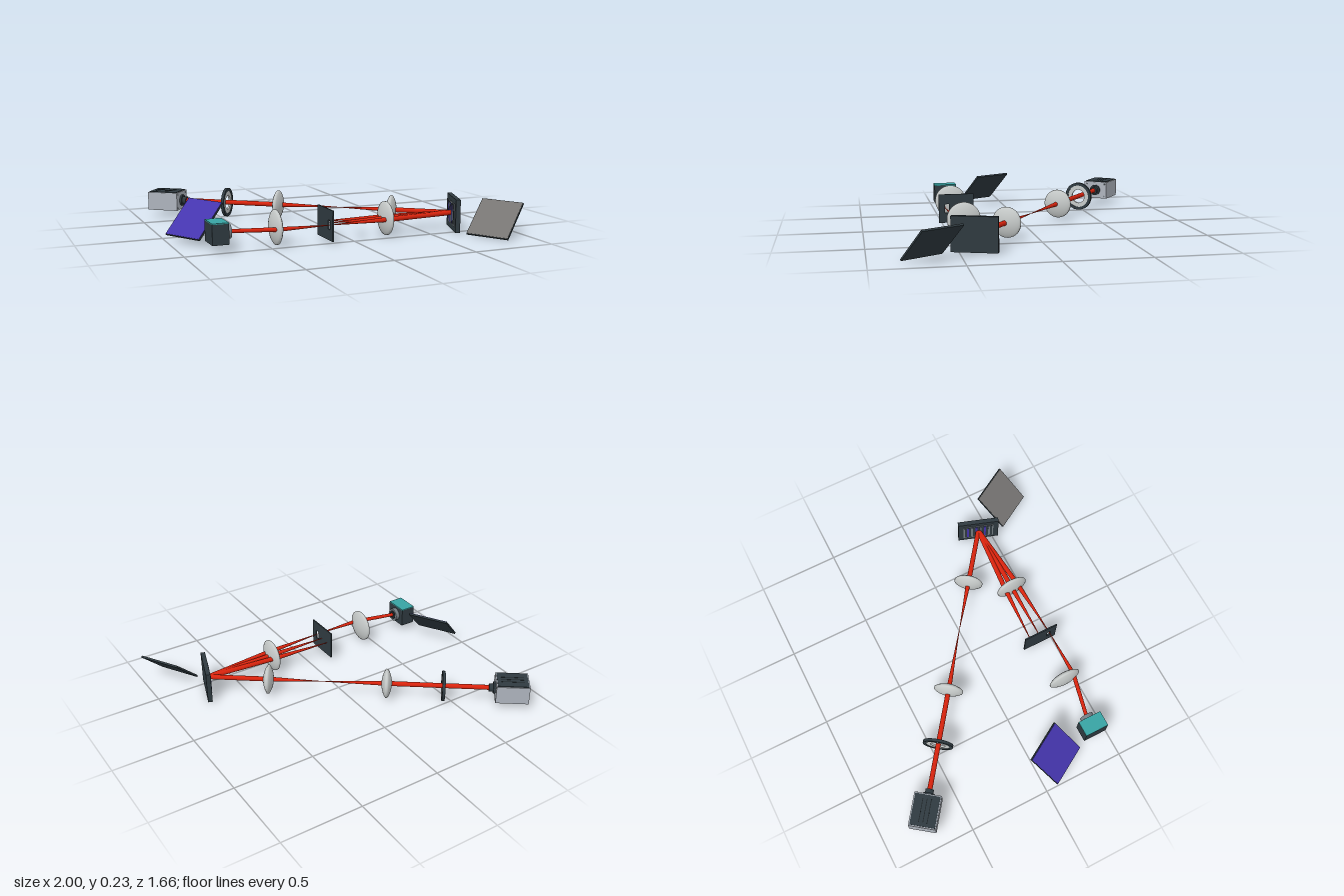
import * as THREE from 'three';

const mat = (name, color) => {
  const m = new THREE.MeshStandardMaterial({ color });
  m.name = name;
  return m;
};

export function createModel() {
  const M = {
    dark: mat('dark anodised metal', 0x2f3a40),
    black: mat('black detail', 0x1c2226),
    body: mat('light grey housing', 0xaeb4bd),
    glass: mat('pale glass', 0xc6cac9),
    steel: mat('mid grey metal', 0x757d83),
    beam: mat('red beam', 0xd8230d),
    teal: mat('teal cover', 0x38a3a3),
    violet: mat('violet screen', 0x4535ae),
    grey: mat('grey screen', 0x777573),
  };
  const root = new THREE.Group();
  const Y = 0.11; // height of the optical axis

  const add = (parent, name, geo, material, x = 0, y = 0, z = 0) => {
    const mesh = new THREE.Mesh(geo, material);
    mesh.name = name;
    mesh.position.set(x, y, z);
    parent.add(mesh);
    return mesh;
  };
  const box = (p, name, w, h, d, m, x, y, z) => add(p, name, new THREE.BoxGeometry(w, h, d), m, x, y, z);
  // group whose local +x points along (dx, dz)
  const station = (name, x, z, dx = 1, dz = 0) => {
    const g = new THREE.Group();
    g.name = name;
    g.position.set(x, Y, z);
    g.rotation.y = Math.atan2(-dz, dx);
    root.add(g);
    return g;
  };
  // cylinder lying along local x
  const barrel = (p, name, r, len, m, x) =>
    add(p, name, new THREE.CylinderGeometry(r, r, len, 32).rotateZ(-Math.PI / 2), m, x);
  // flat shape with a hole, facing local x
  const plate = (p, name, shape, depth, m) =>
    add(p, name, new THREE.ExtrudeGeometry(shape, { depth, bevelEnabled: false, curveSegments: 32 })
      .translate(0, 0, -depth / 2).rotateY(Math.PI / 2), m);
  const ring = (outer, inner) => {
    const s = new THREE.Shape().absarc(0, 0, outer, 0, Math.PI * 2);
    s.holes.push(new THREE.Path().absarc(0, 0, inner, 0, Math.PI * 2, true));
    return s;
  };
  const rect = (path, x, y, w, h) => path.moveTo(x - w / 2, y - h / 2).lineTo(x + w / 2, y - h / 2)
    .lineTo(x + w / 2, y + h / 2).lineTo(x - w / 2, y + h / 2).closePath();

  const DX = 0.799, DZ = 0.601; // direction of the incoming beam

  // Laser housing with dark lid, screws and nozzle
  const laser = station('laser', -0.797, -0.708, DX, DZ);
  box(laser, 'laserHousing', 0.2, 0.115, 0.164, M.body, 0, 0, 0);
  box(laser, 'laserLid', 0.186, 0.006, 0.15, M.dark, 0, 0.059, 0);
  for (let i = -1; i <= 1; i++) box(laser, 'lidGroove', 0.14, 0.002, 0.004, M.black, 0, 0.062, i * 0.025);
  for (const sy of [-1, 1]) for (const sz of [-1, 1])
    barrel(laser, 'screw', 0.006, 0.006, M.steel, 0.1).position.set(0.1, sy * 0.043, sz * 0.066);
  barrel(laser, 'nozzleFlange', 0.036, 0.012, M.dark, 0.106);
  barrel(laser, 'nozzle', 0.025, 0.035, M.dark, 0.12);

  // Iris: dark rim around a grey washer
  const iris = station('iris', -0.465, -0.46, DX, DZ);
  plate(iris, 'irisRim', ring(0.092, 0.073), 0.018, M.dark);
  plate(iris, 'irisWasher', ring(0.074, 0.045), 0.012, M.glass);

  // Biconvex lenses
  const lens = (name, x, z, r, dx, dz) => {
    const half = 0.032, rim = 0.005, pts = [], n = 12;
    const bulge = (t) => rim + (half - rim) * Math.pow(1 - t * t, 0.85);
    for (let i = 0; i <= n; i++) pts.push(new THREE.Vector2(r * i / n, -bulge(i / n)));
    for (let i = n; i >= 0; i--) pts.push(new THREE.Vector2(r * i / n, bulge(i / n)));
    add(station(name, x, z, dx, dz), name + 'Glass', new THREE.LatheGeometry(pts, 48).rotateZ(-Math.PI / 2), M.glass);
  };
  lens('firstRelayLens', -0.19, -0.25, 0.09, DX, DZ);
  lens('secondRelayLens', 0.394, 0.187, 0.09, DX, DZ);
  lens('fourierLens', 0.24, 0.417, 0.1);
  lens('cameraLens', -0.45, 0.417, 0.1);

  // Mirror array, front face towards local +x
  const mirror = station('mirrorArray', 0.704, 0.417, -0.945, -0.326);
  box(mirror, 'mirrorBlock', 0.028, 0.2, 0.262, M.dark, 0, 0, 0);
  box(mirror, 'mirrorFrame', 0.004, 0.14, 0.195, M.steel, 0.015, 0, 0);
  box(mirror, 'mirrorFace', 0.004, 0.126, 0.18, M.dark, 0.0165, 0, 0);
  for (let i = 0; i < 6; i++)
    box(mirror, 'mirrorStripe', 0.003, 0.116, 0.012, i % 2 ? M.violet : M.steel, 0.0185, 0, -0.07 + i * 0.028);

  // Slit plate, open for the outer beam only
  const slit = rect(new THREE.Shape(), 0, 0, 0.22, 0.18);
  slit.holes.push(rect(new THREE.Path(), -0.058, 0, 0.026, 0.055));
  plate(station('slitPlate', -0.143, 0.415), 'slitPlateSheet', slit, 0.008, M.dark);

  // Camera with teal cover
  const camera = station('camera', -0.792, 0.417);
  box(camera, 'cameraBody', 0.096, 0.116, 0.148, M.dark, 0, -0.001, 0);
  box(camera, 'cameraCover', 0.096, 0.006, 0.148, M.teal, 0, 0.06, 0);
  barrel(camera, 'cameraBarrel', 0.042, 0.028, M.steel, 0.06);
  barrel(camera, 'cameraWindow', 0.03, 0.004, M.black, 0.0745);

  // Beams as cones between points (x, z) with a radius at each end
  const beam = (name, [ax, az], [bx, bz], ra, rb) => {
    const a = new THREE.Vector3(ax, Y, az), b = new THREE.Vector3(bx, Y, bz);
    const d = b.clone().sub(a);
    const mesh = add(root, name, new THREE.CylinderGeometry(rb, ra, d.length(), 20), M.beam);
    mesh.position.copy(a).add(b).multiplyScalar(0.5);
    mesh.quaternion.setFromUnitVectors(new THREE.Vector3(0, 1, 0), d.normalize());
  };
  const R = 0.015, F = 0.0015;
  const focus = [0.137, -0.008], hit = [0.692, 0.413];
  beam('laserBeam', [-0.7, -0.635], [-0.19, -0.25], R, R);
  beam('convergingBeam', [-0.19, -0.25], focus, R, F);
  beam('divergingBeam', focus, [0.394, 0.187], F, R);
  beam('mirrorBeam', [0.394, 0.187], hit, R, R);
  for (const i of [-1, 0, 1]) {
    const atLens = [0.24, 0.417 + i * 0.043];
    beam('diffractedBeam', hit, atLens, R, R);
    beam('focusedBeam', atLens, [-0.143, 0.417 + i * 0.064], R, F);
  }
  beam('filteredBeam', [-0.143, 0.481], [-0.45, 0.481], F, 0.013);
  beam('cameraBeam', [-0.45, 0.481], [-0.718, 0.419], 0.013, 0.011);

  // Tilted square screens: dark backing with a coloured face
  const u = new THREE.Vector3(0.506, 0, 0.862).normalize();
  const n = new THREE.Vector3(-0.59, 0.727, 0.347).normalize();
  const v = n.clone().cross(u).normalize();
  const screen = (name, x, y, z, m) => {
    const g = new THREE.Group();
    g.name = name;
    g.quaternion.setFromRotationMatrix(new THREE.Matrix4().makeBasis(u, v, n));
    g.position.set(x, y, z);
    root.add(g);
    box(g, name + 'Backing', 0.267, 0.27, 0.011, M.dark, 0, 0, 0);
    box(g, name + 'Face', 0.262, 0.265, 0.003, m, 0, 0, 0.006);
  };
  screen('patternScreen', -0.843, 0.137, 0.135, M.violet);
  screen('imageScreen', 0.842, 0.104, 0.66, M.grey);

  return root;
}
